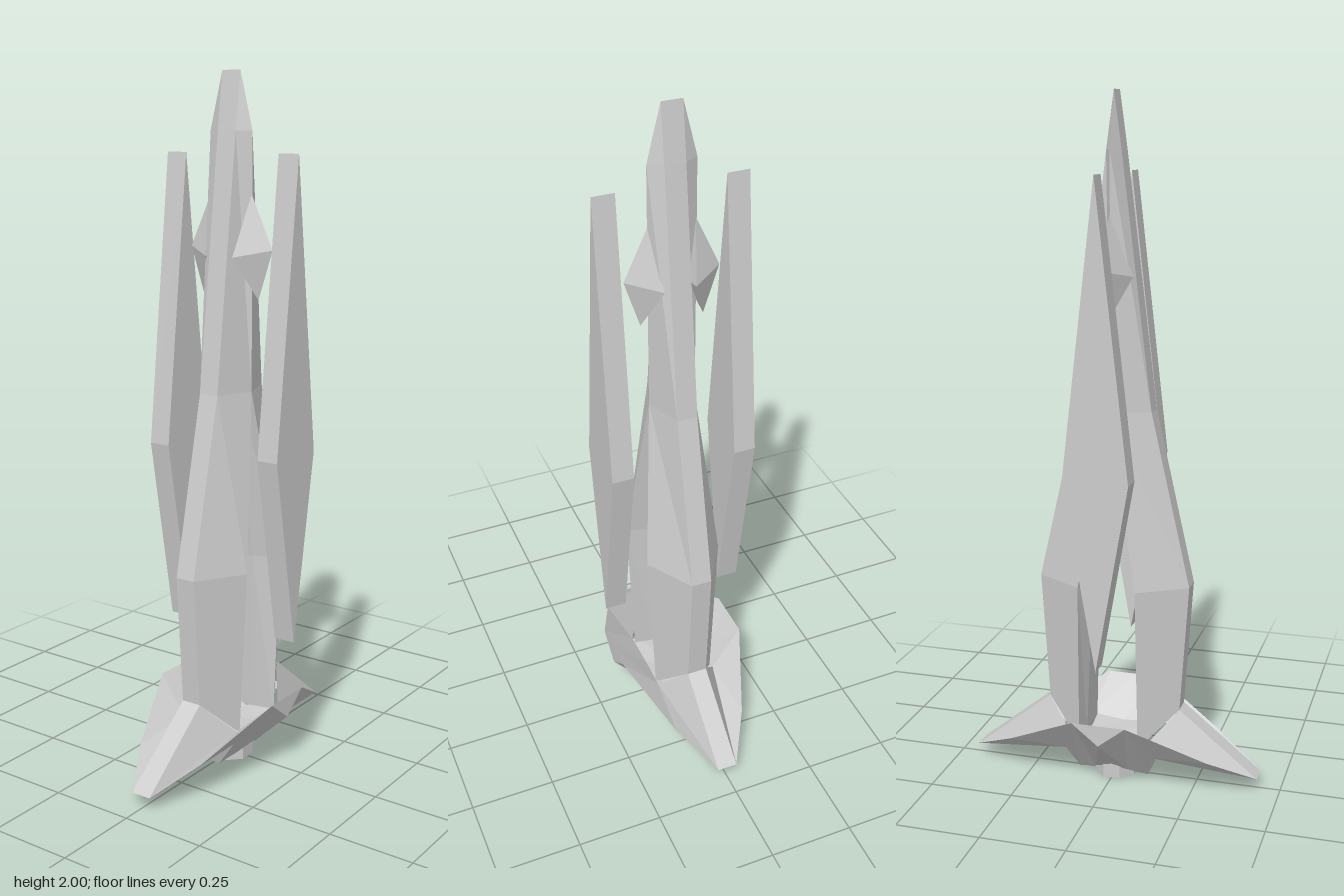
import * as THREE from 'three';
import { ConvexGeometry } from 'three/addons/geometries/ConvexGeometry.js';

const material = new THREE.MeshStandardMaterial({ color: 0xcccccc, flatShading: true });

function addMesh(group, name, geometry) {
  const mesh = new THREE.Mesh(geometry, material);
  mesh.name = name;
  group.add(mesh);
  return mesh;
}

// Geometry from a list of convex polygons, each an array of [x, y, z] corners
function fromPolygons(polygons) {
  const pos = [];
  for (const p of polygons) {
    for (let i = 1; i < p.length - 1; i++) pos.push(...p[0], ...p[i], ...p[i + 1]);
  }
  const g = new THREE.BufferGeometry();
  g.setAttribute('position', new THREE.Float32BufferAttribute(pos, 3));
  g.computeVertexNormals();
  return g;
}

// Half of the hull: six-sided sections lofted from the foot to the tip;
// the halves are separate legs below and meet on the centre plane above
function hullHalf(side) {
  // outer y, outer x, inner y, ridge x, ridge z, inner x
  const levels = [
    [0.23, 0.2, 0.12, 0.09, 0.093, 0.085],
    [0.61, 0.225, 0.61, 0.085, 0.115, 0.065],
    [1.12, 0.11, 1.12, 0, 0.07, 0],
    [1.84, 0.022, 1.84, 0, 0.07, 0],
    [2, 0, 2, 0, 0.03, 0],
  ];
  const rings = levels.map(([oy, ox, iy, rx, rz, ix]) => [
    [ox, oy, 0.03], [rx, iy, rz], [ix, iy, 0.03],
    [ix, iy, -0.03], [rx, iy, -rz], [ox, oy, -0.03],
  ].map(([x, y, z]) => [x * side, y, z]));
  const polygons = [];
  for (let j = 0; j < rings.length - 1; j++) {
    for (let i = 0; i < 6; i++) {
      const k = (i + 1) % 6;
      const quad = [rings[j][i], rings[j + 1][i], rings[j + 1][k], rings[j][k]];
      // faces lying on the centre plane would be hidden inside
      if (quad.every(([x]) => Math.abs(x) < 1e-6)) continue;
      polygons.push(side > 0 ? quad : quad.reverse());
    }
  }
  return fromPolygons(polygons);
}

// Flared tail: one quarter described by named corners, mirrored in x and z
function tailGeometry() {
  const P = {
    a: [0.435, 0.04, 0], A: [0.435, 0.04, 0.03], B: [0.3, 0.11, 0.11],
    C: [0.08, 0.228, 0.2], D: [0, 0.228, 0.2], E: [0, 0.165, 0.2],
    t: [0.2, 0.23, 0], T: [0.2, 0.23, 0.03], R: [0.11, 0.13, 0.095], r: [0.08, 0.12, 0],
    M: [0, 0.12, 0.09], m: [0, 0.12, 0],
    f: [0.14, 0.1, 0], F: [0.14, 0.1, 0.03], N: [0.13, 0.1, 0.1],
    g: [0.105, 0.01, 0], G: [0.105, 0.01, 0.03],
    H: [0.05, 0.03, 0.055], K: [0, 0.04, 0.055], k: [0, 0.02, 0],
  };
  const top = ['aATt', 'ABR', 'ART', 'BCR', 'CDMR', 'MRrm'];
  const under = ['CDE', 'aAFf', 'ABN', 'ANF', 'BCN', 'CNG', 'NFG', 'CGH', 'CEH', 'EKH',
    'FfgG', 'GgkH', 'HKk'];
  const polygons = [];
  const add = (code, facing) => {
    const c = [...code].map((n) => P[n]);
    const v = c.slice(0, 3).map((p) => new THREE.Vector3(...p));
    const normal = v[1].sub(v[0]).cross(v[2].sub(v[0]));
    if (normal.dot(facing) < 0) c.reverse();
    for (const sx of [1, -1]) {
      for (const sz of [1, -1]) {
        const q = c.map(([x, y, z]) => [x * sx, y, z * sz]);
        polygons.push(sx * sz > 0 ? q : q.reverse());
      }
    }
  };
  top.forEach((code) => add(code, new THREE.Vector3(0, 1, 0)));
  under.forEach((code) => add(code, new THREE.Vector3(0, -1, 0.2)));
  return fromPolygons(polygons);
}

// Long kite-shaped plate
function plateGeometry() {
  const kite = new THREE.Shape([[0, 0.4], [0.095, 0.95], [0, 1.78], [-0.095, 0.95]]
    .map(([x, y]) => new THREE.Vector2(x, y)));
  return new THREE.ExtrudeGeometry(kite, { depth: 0.065, bevelEnabled: false })
    .translate(0, 0, -0.0325);
}

// Pointed bulge on the nose
function bulgeGeometry(s) {
  return new ConvexGeometry([
    [0, 1.67, 0.068], [0, 1.38, 0.092], [0.06, 1.5, 0.045],
    [-0.06, 1.5, 0.045], [0, 1.52, 0.138], [0, 1.5, 0.04],
  ].map(([x, y, z]) => new THREE.Vector3(x, y, z * s)));
}

export function createModel() {
  const model = new THREE.Group();
  model.name = 'spacecraft';

  addMesh(model, 'leftHull', hullHalf(1));
  addMesh(model, 'rightHull', hullHalf(-1));
  addMesh(model, 'tail', tailGeometry());

  // Plates and bulges on front and back
  for (const [s, label] of [[1, 'front'], [-1, 'back']]) {
    addMesh(model, label + 'Plate', plateGeometry()).position.z = 0.1875 * s;
    addMesh(model, label + 'Bulge', bulgeGeometry(s));
  }

  // Engine nozzle under the tail
  const nozzle = new THREE.CylinderGeometry(0.065, 0.065, 0.05, 8).rotateY(Math.PI / 8);
  addMesh(model, 'nozzle', nozzle).position.y = 0.025;

  return model;
}
